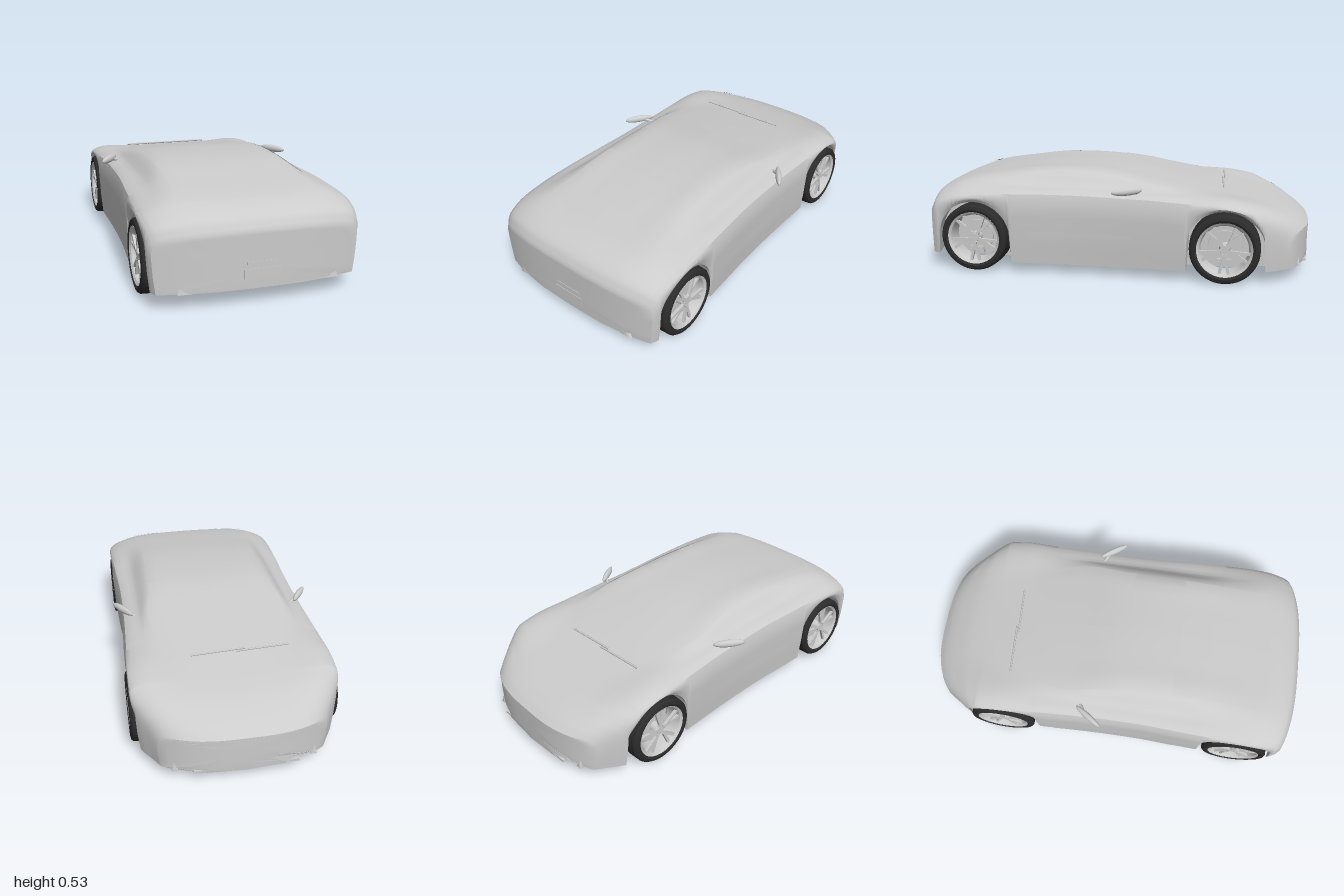
import * as THREE from 'three';
import { toCreasedNormals } from 'three/addons/utils/BufferGeometryUtils.js';

const grey = new THREE.MeshStandardMaterial({ color: 0xcccccc });
const greyThin = new THREE.MeshStandardMaterial({ color: 0xcccccc, side: THREE.DoubleSide });
const rubber = new THREE.MeshStandardMaterial({ color: 0x2c2c2c, side: THREE.DoubleSide });

const AXLES = [-0.575, 0.71], WHEEL_R = 0.176, ARCH_R = 0.19;

// Body stations: z, half width, shoulder y, glass base x, y, roof rail x, y, centre y
const STATIONS = [
  [-1.0, 0.40, 0.21, 0.36, 0.24, 0.25, 0.250, 0.252],
  [-0.96, 0.43, 0.25, 0.38, 0.28, 0.25, 0.285, 0.285],
  [-0.9, 0.47, 0.29, 0.40, 0.32, 0.25, 0.320, 0.318],
  [-0.8, 0.50, 0.335, 0.42, 0.365, 0.25, 0.360, 0.358],
  [-0.6, 0.505, 0.385, 0.43, 0.41, 0.28, 0.405, 0.405],
  [-0.4, 0.50, 0.395, 0.41, 0.425, 0.33, 0.436, 0.445],
  [-0.2, 0.492, 0.405, 0.41, 0.435, 0.36, 0.465, 0.482],
  [0.0, 0.488, 0.41, 0.41, 0.44, 0.335, 0.50, 0.516],
  [0.2, 0.49, 0.415, 0.41, 0.445, 0.325, 0.515, 0.527],
  [0.4, 0.50, 0.415, 0.41, 0.445, 0.325, 0.51, 0.52],
  [0.6, 0.508, 0.41, 0.415, 0.448, 0.325, 0.487, 0.496],
  [0.8, 0.51, 0.395, 0.41, 0.44, 0.33, 0.458, 0.464],
  [0.9, 0.505, 0.375, 0.40, 0.415, 0.30, 0.43, 0.437],
  [0.97, 0.495, 0.345, 0.38, 0.38, 0.28, 0.39, 0.395],
  [1.0, 0.48, 0.30, 0.37, 0.33, 0.25, 0.34, 0.345],
];

// Smooth (Hermite) interpolation of one station column
function column(z, c) {
  const S = STATIONS, n = S.length;
  let i = 0;
  while (i < n - 2 && z > S[i + 1][0]) i++;
  const slope = (k) => {
    const a = S[Math.max(k - 1, 0)], b = S[Math.min(k + 1, n - 1)];
    return (b[c] - a[c]) / (b[0] - a[0]);
  };
  const h = S[i + 1][0] - S[i][0], t = (z - S[i][0]) / h, u = 1 - t;
  return S[i][c] * (1 + 2 * t) * u * u + slope(i) * h * t * u * u
    + S[i + 1][c] * t * t * (3 - 2 * t) - slope(i + 1) * h * t * t * u;
}

// Plan rounding: the ends sweep back towards the corners
function bowed(z, x) {
  const ax = Math.abs(x);
  if (z < -0.7) return z + 0.1 * ((-z - 0.7) / 0.3) * (ax / 0.4) ** 3;
  if (z > 0.7) return z - 0.055 * ((z - 0.7) / 0.3) * (ax / 0.48) ** 3;
  return z;
}

const floorY = (z) => 0.05 + 0.015 * THREE.MathUtils.smoothstep(-z, 0.6, 0.8)
  + 0.03 * THREE.MathUtils.smoothstep(z, 0.75, 0.92);

// Lower edge of the side: floor height, or the wheel arch circle
function edgeY(z, w) {
  const zs = bowed(z, w);
  for (const c of AXLES) {
    const d = Math.abs(zs - c);
    if (d < ARCH_R) return 0.175 + Math.sqrt(ARCH_R * ARCH_R - d * d);
  }
  return floorY(z);
}

// Outer skin curve at one station, from lower edge (t = 0) to roof centre (t = 1)
function skin(z) {
  const [w, ys, xg, yg, xr, yr, yt] = [1, 2, 3, 4, 5, 6, 7].map((c) => column(z, c));
  const yb = edgeY(z, w);
  return new THREE.CatmullRomCurve3([
    [w * 0.975, yb], [w, (yb + ys) / 2], [w * 0.985, ys], [xg, yg], [xr, yr],
    [xr * 0.5, yt - (yt - yr) * 0.25], [0, yt],
  ].map(([x, y]) => new THREE.Vector3(x, y, 0)));
}

function gridGeometry(rows) {
  const pos = [], index = [], m = rows[0].length;
  rows.forEach((r) => r.forEach((p) => pos.push(p.x, p.y, p.z)));
  for (let i = 0; i < rows.length - 1; i++) for (let j = 0; j < m - 1; j++) {
    const a = i * m + j, c = a + m;
    index.push(a, a + 1, c, a + 1, c + 1, c);
  }
  const g = new THREE.BufferGeometry();
  g.setAttribute('position', new THREE.Float32BufferAttribute(pos, 3));
  g.setIndex(index);
  g.computeVertexNormals();
  return g;
}

function add(parent, name, geometry, material = grey, pos = [0, 0, 0], rot = [0, 0, 0]) {
  const m = new THREE.Mesh(geometry, material);
  m.name = name;
  m.position.set(...pos);
  m.rotation.set(...rot);
  parent.add(m);
  return m;
}

// Closed body shell with floor and wheel wells
function bodyGeometry() {
  const ring = (z, s = 1) => {
    const yf = floorY(z), yb = edgeY(z, column(z, 1)), ym = 0.18;
    const half = [[0, yf], [0.2, yf], [0.37, yf], [0.37, yb]].map(([x, y]) => new THREE.Vector3(x, y, 0));
    half.push(...skin(z).getPoints(18));
    const all = half.concat(half.slice(0, -1).reverse().map((p) => new THREE.Vector3(-p.x, p.y, 0)));
    return all.map((p) => {
      const x = p.x * s;
      return new THREE.Vector3(x, ym + (p.y - ym) * s, bowed(z, x));
    });
  };
  const rows = [0, 0.25, 0.5, 0.75, 0.9].map((s) => ring(-1, s));
  for (let i = 0; i <= 240; i++) rows.push(ring(-1 + i / 120));
  [0.9, 0.75, 0.5, 0.25, 0].forEach((s) => rows.push(ring(1, s)));
  return toCreasedNormals(gridGeometry(rows).toNonIndexed(), 0.6);
}

// Thin panel lying on the skin between curve values k0..k1, with slanted ends
function panel(parent, name, k0, k1, zA, zB, lift = 0.002) {
  for (const side of [1, -1]) {
    const rows = [];
    for (let i = 0; i <= 24; i++) {
      const row = [];
      for (let j = 0; j <= 10; j++) {
        const v = j / 10, z = THREE.MathUtils.lerp(zA(v), zB(v), i / 24);
        const p = skin(z).getPoint((k0 + (k1 - k0) * v) / 6);
        const out = k0 < 3 ? [lift, 0] : [lift * 0.4, lift];
        row.push(new THREE.Vector3(side * (p.x + (p.x > 0.01 ? out[0] : 0)), p.y + out[1], bowed(z, p.x)));
      }
      rows.push(side > 0 ? row : row.reverse());
    }
    add(parent, name, gridGeometry(rows), greyThin);
  }
}

function lathe(points, seg = 48) {
  return toCreasedNormals(new THREE.LatheGeometry(points.map((p) => new THREE.Vector2(...p)), seg).toNonIndexed(), 0.5);
}

// Wheel with its axle along local y, outer face at +y
function makeWheel() {
  const g = new THREE.Group();
  add(g, 'tyre', lathe([[0.132, -0.055], [0.15, -0.064], [0.166, -0.06], [0.174, -0.05], [WHEEL_R, 0],
    [0.174, 0.05], [0.166, 0.06], [0.15, 0.064], [0.132, 0.055]]), rubber);
  add(g, 'rim', lathe([[0.132, -0.055], [0.122, -0.04], [0.118, 0.03], [0.126, 0.052], [0.138, 0.06], [0.138, 0.052]]), greyThin);
  add(g, 'brakeDisc', new THREE.CylinderGeometry(0.085, 0.085, 0.012, 36), grey, [0, -0.005, 0]);
  add(g, 'brakeCaliper', new THREE.BoxGeometry(0.035, 0.03, 0.07), grey, [0.075, 0, 0]);
  add(g, 'hub', new THREE.CylinderGeometry(0.022, 0.03, 0.06, 20), grey, [0, 0.018, 0]);
  for (let i = 0; i < 5; i++) for (const s of [-1, 1]) {
    const a = (i / 5) * Math.PI * 2 + s * 0.13;
    const spoke = add(g, 'spoke', new THREE.BoxGeometry(0.105, 0.014, 0.014), grey,
      [Math.cos(a) * 0.074, 0.042, -Math.sin(a) * 0.074]);
    spoke.rotation.set(0, a + s * 0.12, 0);
  }
  return g;
}

export function createModel() {
  const car = new THREE.Group();
  car.name = 'sportsCar';
  add(car, 'body', bodyGeometry());

  // Glass and inset panels
  panel(car, 'windscreen', 4, 6, (v) => -0.45 - 0.21 * Math.sqrt(v), (v) => 0.06 - 0.09 * v);
  panel(car, 'rearWindow', 4, 6, (v) => 0.33 - 0.02 * v, (v) => 0.78 + 0.07 * Math.sqrt(v));
  panel(car, 'sideWindow', 3.1, 3.9, (v) => -0.38 + 0.33 * v, (v) => 0.72 - 0.3 * v);
  panel(car, 'bonnetPanel', 5, 6, (v) => -0.78 - 0.05 * v, (v) => -0.64 - 0.04 * v);
  panel(car, 'headlight', 3.2, 3.9, (v) => -0.88 - 0.05 * v, (v) => -0.85 - 0.04 * v, 0.004);
  panel(car, 'tailLight', 3.6, 4.8, () => 0.855, (v) => 0.885 - 0.01 * v, 0.005);
  panel(car, 'sideSkirt', 0.1, 0.95, (v) => -0.3 + 0.2 * v, (v) => 0.38 + 0.04 * v, 0.004);

  // Wheels
  for (const z of AXLES) for (const side of [1, -1]) {
    const wheel = makeWheel();
    wheel.name = z < 0 ? 'noseWheel' : 'tailWheel';
    wheel.position.set(side * 0.449, WHEEL_R, z);
    wheel.rotation.z = -side * Math.PI / 2;
    car.add(wheel);
  }

  // Door mirrors, bumper fins
  for (const side of [1, -1]) {
    const mirror = add(car, 'mirror', new THREE.SphereGeometry(1, 20, 12), grey, [side * 0.485, 0.446, -0.09]);
    mirror.scale.set(0.016, 0.02, 0.083);
    mirror.rotation.set(0, side * 0.6, 0);
    const arm = new THREE.LineCurve3(new THREE.Vector3(side * 0.42, 0.425, -0.14), new THREE.Vector3(side * 0.465, 0.44, -0.115));
    add(car, 'mirrorArm', new THREE.TubeGeometry(arm, 2, 0.009, 8));
    add(car, 'rearFin', new THREE.CylinderGeometry(0.02, 0.046, 0.06, 4), grey, [side * 0.345, 0.11, 0.95], [0, Math.PI / 4, 0]);
    add(car, 'noseFin', new THREE.CylinderGeometry(0.008, 0.022, 0.04, 4), grey, [side * 0.33, 0.085, -0.935], [0, Math.PI / 4, 0]);
  }

  // Tail plate holder, nose splitter, undertray
  add(car, 'plateHolder', new THREE.BoxGeometry(0.17, 0.045, 0.01), grey, [0, 0.15, 0.997]);
  add(car, 'plateHood', new THREE.BoxGeometry(0.14, 0.012, 0.012), grey, [0, 0.2, 0.996]);
  add(car, 'noseSplitter', new THREE.BoxGeometry(0.5, 0.012, 0.06), grey, [0, 0.072, -0.955]);
  add(car, 'undertray', new THREE.BoxGeometry(0.52, 0.03, 0.5), grey, [0, 0.065, 0.62]);

  // Windscreen wipers
  for (const x of [-0.3, -0.08]) {
    const at = (px, z) => new THREE.Vector3(px, column(z, 7) + 0.008, z);
    add(car, 'wiper', new THREE.TubeGeometry(new THREE.LineCurve3(at(x, -0.54), at(x + 0.27, -0.555)), 4, 0.005, 6));
  }
  return car;
}
